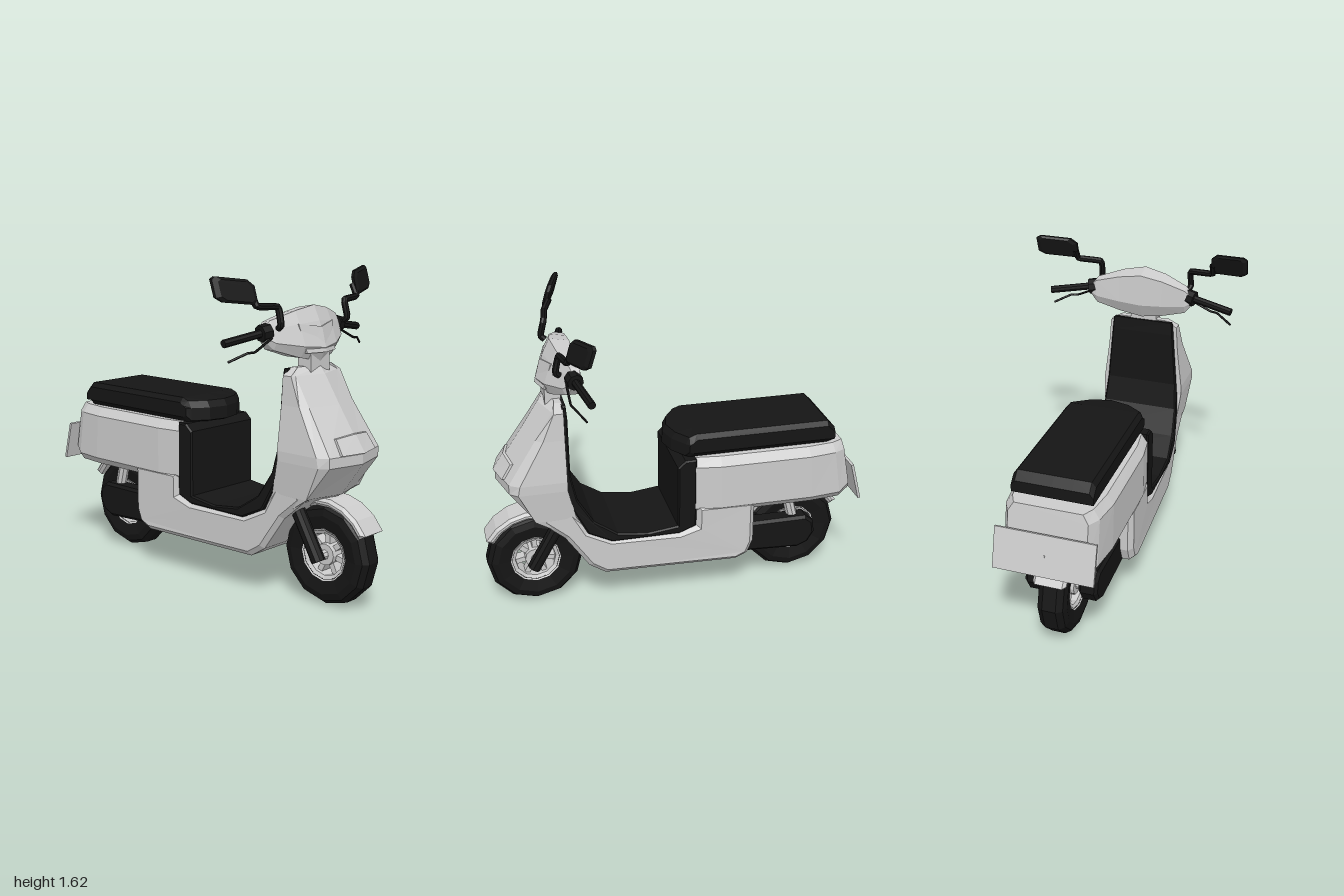
import * as THREE from 'three';

const mat = (color) => new THREE.MeshStandardMaterial({ color, flatShading: true, side: THREE.DoubleSide });
const V = (p) => new THREE.Vector3(...p);

// Skin a list of equal-length rings, with end caps; winding is fixed by signed volume
function loft(rings) {
  const n = rings[0].length, pos = rings.flat(2), idx = [];
  for (let i = 0; i < rings.length - 1; i++) for (let j = 0; j < n; j++) {
    const a = i * n + j, b = i * n + (j + 1) % n;
    idx.push(a, b, a + n, b, b + n, a + n);
  }
  const last = (rings.length - 1) * n;
  for (let j = 1; j < n - 1; j++) idx.push(0, j + 1, j, last, last + j, last + j + 1);
  let vol = 0;
  const at = (i) => new THREE.Vector3().fromArray(pos, i * 3);
  for (let i = 0; i < idx.length; i += 3) vol += at(idx[i]).dot(at(idx[i + 1]).cross(at(idx[i + 2])));
  if (vol < 0) idx.reverse();
  const g = new THREE.BufferGeometry();
  g.setAttribute('position', new THREE.Float32BufferAttribute(pos, 3));
  g.setIndex(idx);
  const out = g.toNonIndexed();
  out.computeVertexNormals();
  return out;
}

// Extrude a side profile of [z, y] points across x, with chamfered edges
function sideExtrude(points, halfWidth, bevel) {
  const shape = new THREE.Shape(points.map(([z, y]) => new THREE.Vector2(z, y)));
  const depth = 2 * (halfWidth - bevel);
  const g = new THREE.ExtrudeGeometry(shape, {
    depth, bevelEnabled: bevel > 0, bevelSize: bevel, bevelThickness: bevel, bevelOffset: -bevel, bevelSegments: 1,
  });
  return g.translate(0, 0, -depth / 2).rotateY(-Math.PI / 2);
}

// Move every vertex by a rule
function warp(g, rule) {
  const p = g.attributes.position, v = new THREE.Vector3();
  for (let i = 0; i < p.count; i++) { v.fromBufferAttribute(p, i); rule(v); p.setXYZ(i, v.x, v.y, v.z); }
  g.computeVertexNormals();
  return g;
}

function rod(a, b, r, sides = 8) {
  const d = V(b).sub(V(a)), g = new THREE.CylinderGeometry(r, r, d.length(), sides);
  g.applyQuaternion(new THREE.Quaternion().setFromUnitVectors(new THREE.Vector3(0, 1, 0), d.clone().normalize()));
  const m = V(a).addScaledVector(d, 0.5);
  return g.translate(m.x, m.y, m.z);
}

const tube = (pts, r, sides = 6) =>
  new THREE.TubeGeometry(new THREE.CatmullRomCurve3(pts.map(V), false, 'catmullrom', 0.15), 24, r, sides);

// V-shaped lens: zAt(y) is the centre surface, sweep is how far the ends lie back
function lens(wTop, wBot, top, bot, endLift, sweep, zAt) {
  return loft([-1, 0, 1].map((s) => {
    const e = Math.abs(s), t = top + e * endLift, z = (y) => zAt(y) - e * sweep;
    return [[s * wTop, t, z(t)], [s * wBot, bot, z(bot)], [s * wBot, bot, z(bot) - 0.05], [s * wTop, t, z(t) - 0.05]];
  }));
}

export function createModel() {
  const root = new THREE.Group();
  root.name = 'scooter';
  const grey = mat(0xcccccc), black = mat(0x151515), white = mat(0xffffff);
  const add = (name, g, m, parent = root) => {
    const mesh = new THREE.Mesh(g, m);
    mesh.name = name;
    parent.add(mesh);
    return mesh;
  };
  const pair = (name, make, m) => [1, -1].forEach((s) => add((s > 0 ? 'left' : 'right') + name, make(s), m));

  // Wheels with open spokes, and arched fenders
  const tyre = [[0.125, -0.06], [0.2, -0.075], [0.235, -0.065], [0.256, -0.035], [0.256, 0.035], [0.235, 0.065], [0.2, 0.075], [0.125, 0.06], [0.125, -0.06]];
  const rim = [[0.108, -0.05], [0.134, -0.064], [0.134, 0.064], [0.108, 0.05], [0.108, -0.05]];
  const ring = (pts) => new THREE.LatheGeometry(pts.map(([r, x]) => new THREE.Vector2(r, x)), 12).rotateZ(Math.PI / 2);
  for (const [name, z] of [['front', 0.745], ['rear', -0.68]]) {
    const wheel = new THREE.Group();
    wheel.name = name + 'Wheel';
    wheel.position.set(0, 0.255, z);
    root.add(wheel);
    add('tyre', ring(tyre), black, wheel);
    add('rim', ring(rim), grey, wheel);
    add('hub', rod([-0.055, 0, 0], [0.055, 0, 0], 0.055, 12), grey, wheel);
    add('axle', rod([-0.13, 0, 0], [0.13, 0, 0], 0.025), grey, wheel);
    for (let i = 0; i < 7; i++)
      add('spoke', new THREE.BoxGeometry(0.06, 0.08, 0.028).translate(0, 0.08, 0).rotateX(i * Math.PI * 2 / 7), grey, wheel);
    const arc = (r) => Array.from({ length: 8 }, (_, i) => {
      const a = (30 + i * 120 / 7) * Math.PI / 180;
      return [r * Math.cos(a), r * Math.sin(a)];
    });
    add('fender', sideExtrude([...arc(0.292), ...arc(0.25).reverse()], 0.085, 0.015), grey, wheel);
  }

  // Front fork
  pair('ForkLeg', (s) => rod([s * 0.125, 0.24, 0.765], [s * 0.125, 0.6, 0.56], 0.036, 10), black);

  // Front shield: a V-fronted shell, rows of [y, half width, front z, edge z, back z]
  add('frontShield', loft([
    [1.175, 0.13, 0.655, 0.62, 0.58], [1.14, 0.19, 0.685, 0.63, 0.58], [1.0, 0.2, 0.775, 0.69, 0.58],
    [0.78, 0.228, 0.922, 0.82, 0.58], [0.73, 0.228, 0.922, 0.83, 0.58], [0.56, 0.212, 0.8, 0.75, 0.54], [0.5, 0.2, 0.68, 0.66, 0.5],
  ].map(([y, w, f, e, b]) => [
    [-w, y, b], [-w, y, e], [-w * 0.85, y, f - 0.05], [0, y, f], [w * 0.85, y, f - 0.05], [w, y, e], [w, y, b],
  ])), grey);
  add('shieldLight', lens(0.12, 0.13, 0.87, 0.785, -0.012, 0.032, (y) => 0.935 - (y - 0.78) * 0.66), white);

  // Floor section and underside
  add('floorBody', warp(sideExtrude([
    [0.585, 0.7], [0.56, 0.62], [0.48, 0.47], [0.36, 0.41], [0.0, 0.41], [-0.09, 0.44], [-0.09, 0.56], [-0.405, 0.56],
    [-0.405, 0.31], [-0.375, 0.235], [-0.31, 0.206], [0.395, 0.206], [0.48, 0.26], [0.6, 0.436], [0.72, 0.54], [0.7, 0.7],
  ], 0.255, 0.025), (v) => {
    v.x *= THREE.MathUtils.mapLinear(THREE.MathUtils.clamp(v.z, -0.3, 0.6), -0.3, 0.6, 1, 0.83);
  }), grey);

  // Rear bodywork: chamfered sections [z, half width, bottom, back slant]
  add('rearBody', loft([
    [-0.07, 0.23, 0.5, 0], [-0.22, 0.253, 0.5, 0], [-0.7, 0.255, 0.5, 0.02], [-0.84, 0.235, 0.5, 0.05], [-0.9, 0.2, 0.53, 0.06],
  ].map(([z, w, bot, slant]) => [
    [0.86, 0.826], [1, 0.78], [1, bot + 0.04], [0.86, bot], [-0.86, bot], [-1, bot + 0.04], [-1, 0.78], [-0.86, 0.826],
  ].map(([k, y]) => [k * w, y, z - slant * (0.826 - y) / 0.326]))), grey);

  // Footwell lining running from the shield to the seat front
  add('footwellLining', warp(sideExtrude([
    [0.585, 1.17], [0.585, 0.7], [0.565, 0.62], [0.485, 0.465], [0.36, 0.405], [0.0, 0.405], [-0.09, 0.44], [-0.09, 0.826],
    [-0.03, 0.826], [0.01, 0.79], [0.01, 0.45], [0.17, 0.43], [0.33, 0.45], [0.45, 0.53], [0.53, 0.66], [0.56, 0.8], [0.56, 1.1], [0.565, 1.17],
  ], 0.235, 0.008), (v) => {
    if (v.z > 0.4) v.x *= THREE.MathUtils.mapLinear(THREE.MathUtils.clamp(v.y, 0.47, 1.17), 0.47, 1.17, 0.97, 0.72);
  }), black);

  // Seat, bowed at the front: sections across x
  add('seat', loft([-1, -0.9, -0.5, 0, 0.5, 0.9, 1].map((k) => {
    const bow = 0.1 * k * k, e = Math.abs(k) === 1 ? 0.025 : 0, x = k * 0.205;
    return [[0.043 - bow, 0.835 + e], [0.04 - bow, 0.9], [0.02 - bow, 0.935 - e], [-0.1, 0.95 - e], [-0.81, 0.95 - e],
      [-0.85, 0.91 - e], [-0.85, 0.85], [-0.81, 0.826 + e], [0.02 - bow, 0.826 + e]].map(([z, y]) => [x, y, z]);
  })), black);

  // Drive units and shock absorbers beside the rear wheel
  pair('DriveCase', (s) => sideExtrude([
    [-0.3, 0.215], [-0.3, 0.385], [-0.72, 0.385], [-0.765, 0.35], [-0.775, 0.28], [-0.74, 0.22], [-0.68, 0.195],
  ], 0.05, 0.015).translate(s * 0.14, 0, 0), black);
  pair('Shock', (s) => rod([s * 0.13, 0.36, -0.66], [s * 0.13, 0.56, -0.61], 0.03), grey);

  // Rear plate
  const plate = new THREE.Group();
  plate.name = 'rearPlate';
  plate.position.set(0, 0.603, -0.966);
  plate.rotation.x = 0.25;
  root.add(plate);
  add('plate', new THREE.BoxGeometry(0.51, 0.21, 0.014), white, plate);
  add('bolt', rod([0, 0, -0.007], [0, 0, -0.011], 0.007), grey, plate);

  // Steering head: sections [x, top, bottom, front z, back z]
  const half = [[0.285, 1.37, 1.31, 0.555, 0.505], [0.25, 1.405, 1.265, 0.59, 0.495], [0.12, 1.445, 1.222, 0.66, 0.5]];
  const sections = [...half.map(([x, ...r]) => [-x, ...r]), [0, 1.467, 1.2, 0.69, 0.5], ...half.slice().reverse()];
  add('steeringHead', loft(sections.map(([x, t, b, f, k]) => {
    const h = t - b, d = f - k;
    return [[0.58, 1], [0.05, 0.93], [0, 0.3], [0.22, 0], [0.82, 0], [1, 0.25], [0.77, 0.72]].map(([u, v]) => [x, b + v * h, k + u * d]);
  })), grey);
  add('headlight', lens(0.13, 0.108, 1.366, 1.245, 0.018, 0.032, (y) => 0.7 - Math.abs(y - 1.262) * 0.36), white);
  add('steeringNeck', new THREE.BoxGeometry(0.145, 0.12, 0.08).translate(0, 1.18, 0.615), grey);

  // Handlebar controls and mirrors
  pair('Grip', (s) => rod([s * 0.25, 1.353, 0.54], [s * 0.51, 1.313, 0.49], 0.02), black);
  pair('GripCollar', (s) => rod([s * 0.25, 1.353, 0.54], [s * 0.3, 1.345, 0.53], 0.042, 8), black);
  pair('BrakeLever', (s) => tube([[s * 0.26, 1.325, 0.57], [s * 0.38, 1.27, 0.57], [s * 0.42, 1.268, 0.56], [s * 0.505, 1.23, 0.515]], 0.006), black);
  pair('MirrorStalk', (s) => tube([[s * 0.25, 1.37, 0.6], [s * 0.255, 1.39, 0.62], [s * 0.255, 1.472, 0.6],
    [s * 0.38, 1.482, 0.58], [s * 0.386, 1.54, 0.55]], 0.017, 8), black);
  const mirror = [[0.378, 1.575], [0.41, 1.605], [0.565, 1.624], [0.585, 1.612], [0.583, 1.53], [0.55, 1.508], [0.4, 1.49], [0.378, 1.505]];
  pair('Mirror', (s) => loft([[0.8, -0.018], [1, -0.008], [1, 0.008], [0.8, 0.018]].map(([k, t]) => mirror.map(([x, y]) => {
    const px = 0.48 + (x - 0.48) * k, py = 1.557 + (y - 1.557) * k;
    return [s * px, py, 0.53 - (px - 0.48) * 0.3 - (py - 1.557) * 0.3 + t];
  }))), black);
  return root;
}
